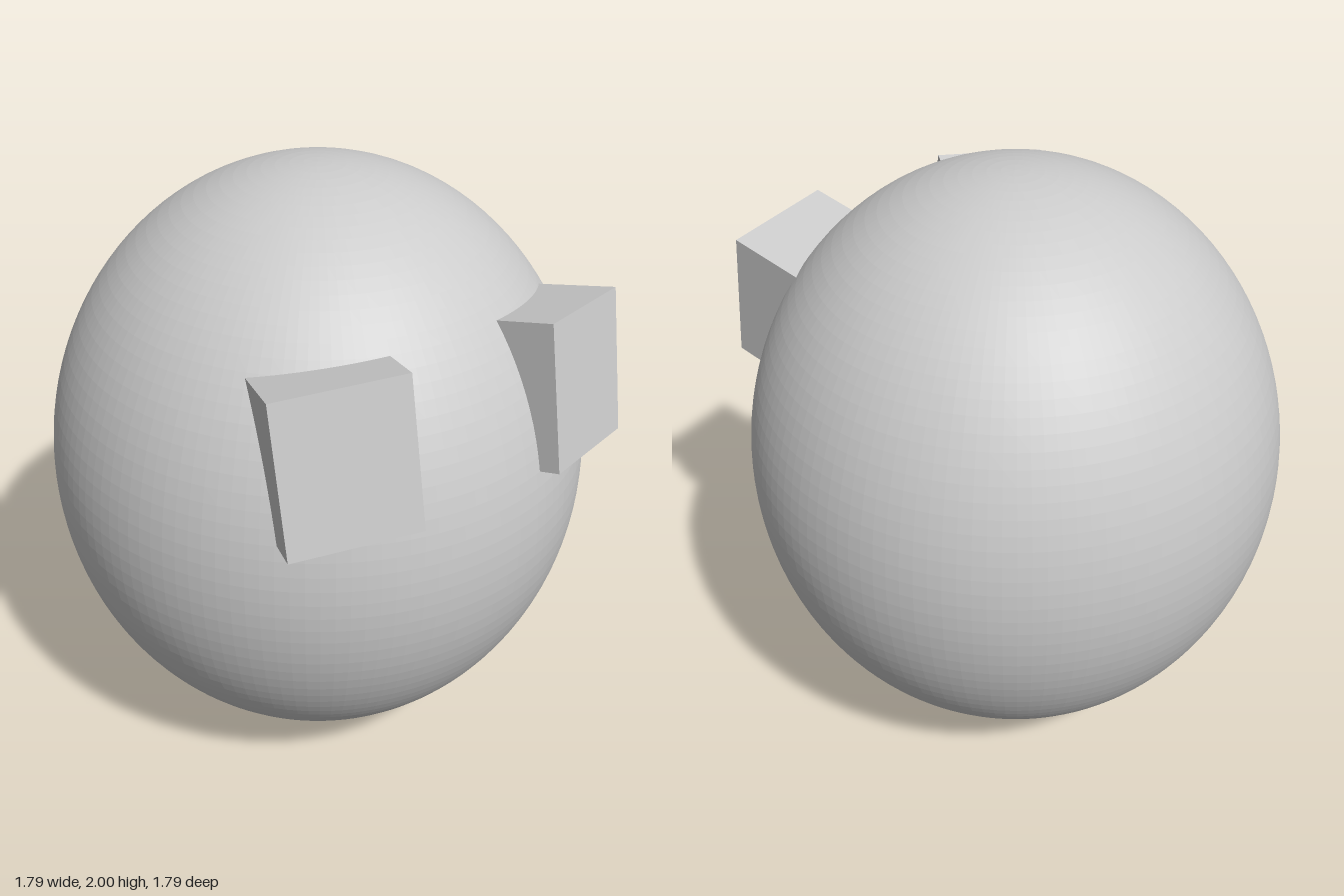
import * as THREE from 'three';

export function createModel() {
  const model = new THREE.Group();
  model.name = 'eggWithPads';
  const material = new THREE.MeshStandardMaterial({ color: 0xcccccc, flatShading: true });

  // Everything is built around a unit sphere, then narrowed into an egg
  const egg = new THREE.Group();
  egg.name = 'egg';
  egg.scale.set(0.895, 1, 0.895);
  egg.position.y = 1;
  model.add(egg);

  const body = new THREE.Mesh(new THREE.SphereGeometry(1, 128, 64), material);
  body.name = 'body';
  egg.add(body);

  // Square eye blocks, half sunk into the body; origin at the centre of the front face
  const depth = 0.36;
  const eyeGeometry = new THREE.BoxGeometry(0.441, 0.466, depth).translate(0, 0, -depth / 2);
  for (const side of [1, -1]) {
    const eye = new THREE.Mesh(eyeGeometry, material);
    eye.name = side > 0 ? 'leftEye' : 'rightEye';
    eye.position.set(side * 0.489, 0.47, 0.883);
    eye.rotation.set(-0.22, side * 0.32, 0);
    egg.add(eye);
  }

  return model;
}
